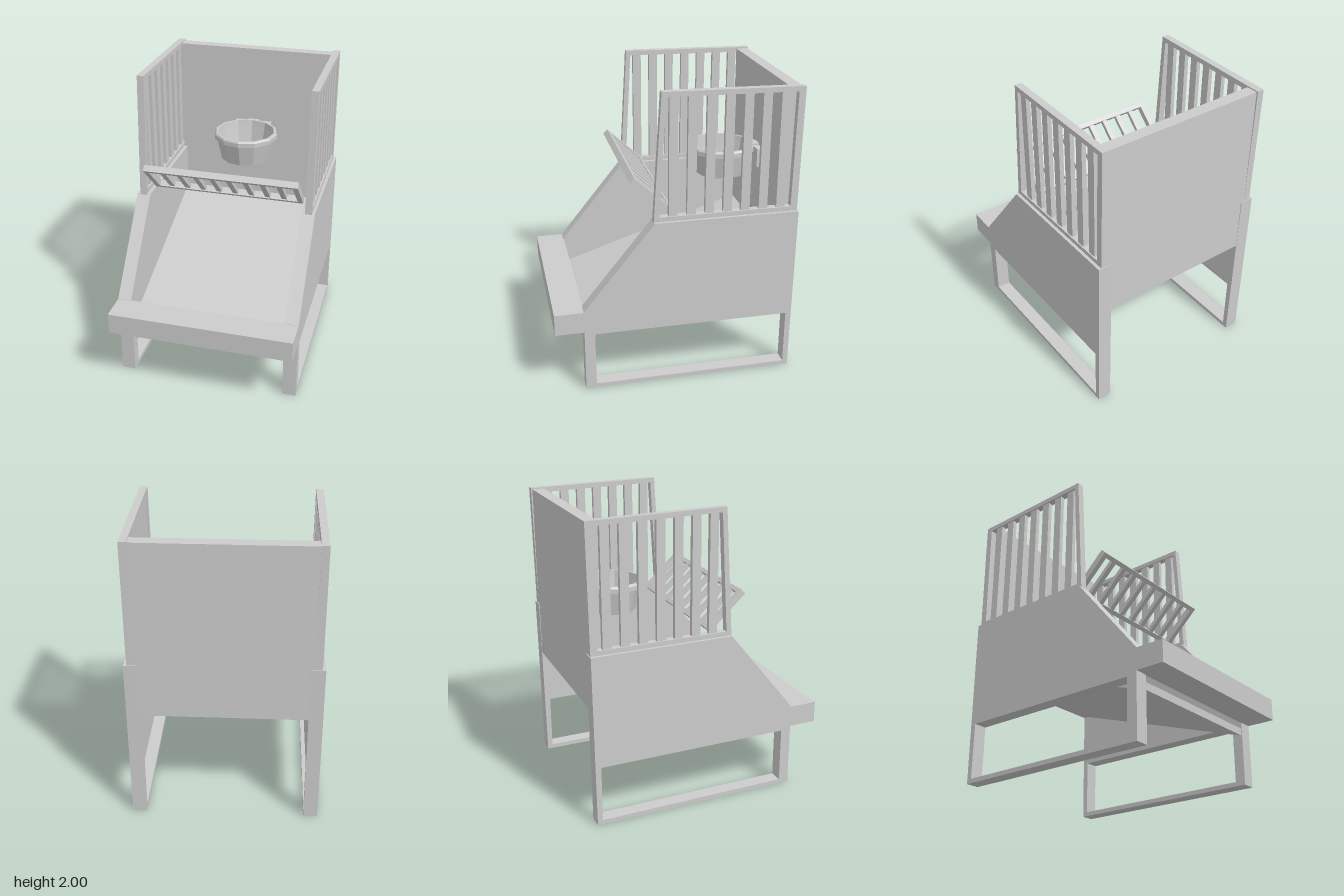
import * as THREE from 'three';

const material = new THREE.MeshStandardMaterial({ color: 0xcccccc });
const doubleSided = new THREE.MeshStandardMaterial({ color: 0xcccccc, side: THREE.DoubleSide, flatShading: true });

function add(parent, name, geometry, mat = material) {
  const mesh = new THREE.Mesh(geometry, mat);
  mesh.name = name;
  parent.add(mesh);
  return mesh;
}

// Box given by its minimum and maximum on each axis
function box(parent, name, [x0, x1], [y0, y1], [z0, z1]) {
  const mesh = add(parent, name, new THREE.BoxGeometry(x1 - x0, y1 - y0, z1 - z0));
  mesh.position.set((x0 + x1) / 2, (y0 + y1) / 2, (z0 + z1) / 2);
  return mesh;
}

// Side profile of [z, y] points with optional hole, extruded between x0 and x1
function sideExtrude(points, hole, x0, x1) {
  const toVec = ([z, y]) => new THREE.Vector2(z, y);
  const shape = new THREE.Shape(points.map(toVec));
  if (hole) shape.holes.push(new THREE.Path(hole.map(toVec)));
  const geometry = new THREE.ExtrudeGeometry(shape, { depth: x1 - x0, bevelEnabled: false });
  return geometry.rotateY(-Math.PI / 2).translate(x1, 0, 0);
}

// Cabinet side with its leg frame, and the slatted guard above it
function createSide(s) {
  const side = new THREE.Group();
  side.name = s > 0 ? 'leftSide' : 'rightSide';
  const span = (a, b) => (s > 0 ? [a, b] : [-b, -a]);

  add(side, 'sidePanel', sideExtrude(
    [[0.62, 0], [0.62, 0.58], [0.15, 1.16], [-0.805, 1.16], [-0.795, 0]],
    [[0.55, 0.03], [0.55, 0.41], [-0.76, 0.41], [-0.76, 0.03]],
    ...span(0.532, 0.625)));

  add(side, 'guardFrame', sideExtrude(
    [[0.155, 1.15], [0.105, 2], [-0.81, 1.988], [-0.8, 1.15]],
    [[0.118, 1.19], [0.075, 1.967], [-0.765, 1.955], [-0.755, 1.19]],
    ...span(0.556, 0.604)));

  for (let i = 0; i < 7; i++) {
    const z = 0.026 - i * 0.119;
    box(side, 'guardSlat', span(0.565, 0.595), [1.18, 1.965], [z - 0.029, z + 0.029]);
  }
  return side;
}

// Tilted low fence above the ramp, built flat in its own plane
function createFence() {
  const fence = new THREE.Group();
  fence.name = 'frontFence';
  const h = 0.17, w = 0.525, t = 0.022;
  for (const s of [-1, 1]) {
    box(fence, 'fenceRail', [-w, w], s > 0 ? [h - 0.03, h] : [-h, -h + 0.03], [-t, t]);
    box(fence, 'fenceEnd', s > 0 ? [w - 0.035, w] : [-w, -w + 0.035], [-h, h], [-t, t]);
  }
  for (let i = 0; i < 8; i++) {
    const x = -0.4 + i * 0.1136;
    box(fence, 'fenceSlat', [x - 0.018, x + 0.018], [-h + 0.02, h - 0.02], [-0.014, 0.014]);
  }
  fence.position.set(0, 1.303, 0.15);
  fence.rotation.x = 0.82;
  return fence;
}

// Open tapered basket with twelve sides and its wall bracket
function createHoop() {
  const hoop = new THREE.Group();
  hoop.name = 'hoop';
  const profile = [[0.168, 1.25], [0.178, 1.25], [0.215, 1.41], [0.23, 1.41], [0.23, 1.44],
    [0.222, 1.452], [0.207, 1.452], [0.2, 1.41], [0.168, 1.25]];
  const basket = add(hoop, 'basket',
    new THREE.LatheGeometry(profile.map(([r, y]) => new THREE.Vector2(r, y)), 12), doubleSided);
  basket.position.z = -0.455;
  box(hoop, 'bracketArm', [-0.042, 0.042], [1.38, 1.44], [-0.73, -0.66]);
  box(hoop, 'bracketPlate', [-0.135, 0.135], [1.3, 1.43], [-0.73, -0.675]);
  return hoop;
}

export function createModel() {
  const model = new THREE.Group();
  model.name = 'ballGameCabinet';
  model.add(createSide(1), createSide(-1), createFence(), createHoop());

  // Back board
  box(model, 'backBoard', [-0.558, 0.558], [0.79, 1.98], [-0.8, -0.72]);

  // Ball return ramp sloping down to the front
  add(model, 'ramp', sideExtrude(
    [[0.615, 0.34], [0.615, 0.39], [-0.74, 0.84], [-0.79, 0.8]], null, -0.535, 0.535));

  // Front ball stop
  box(model, 'frontBumper', [-0.625, 0.625], [0.432, 0.578], [0.615, 0.812]);
  return model;
}
